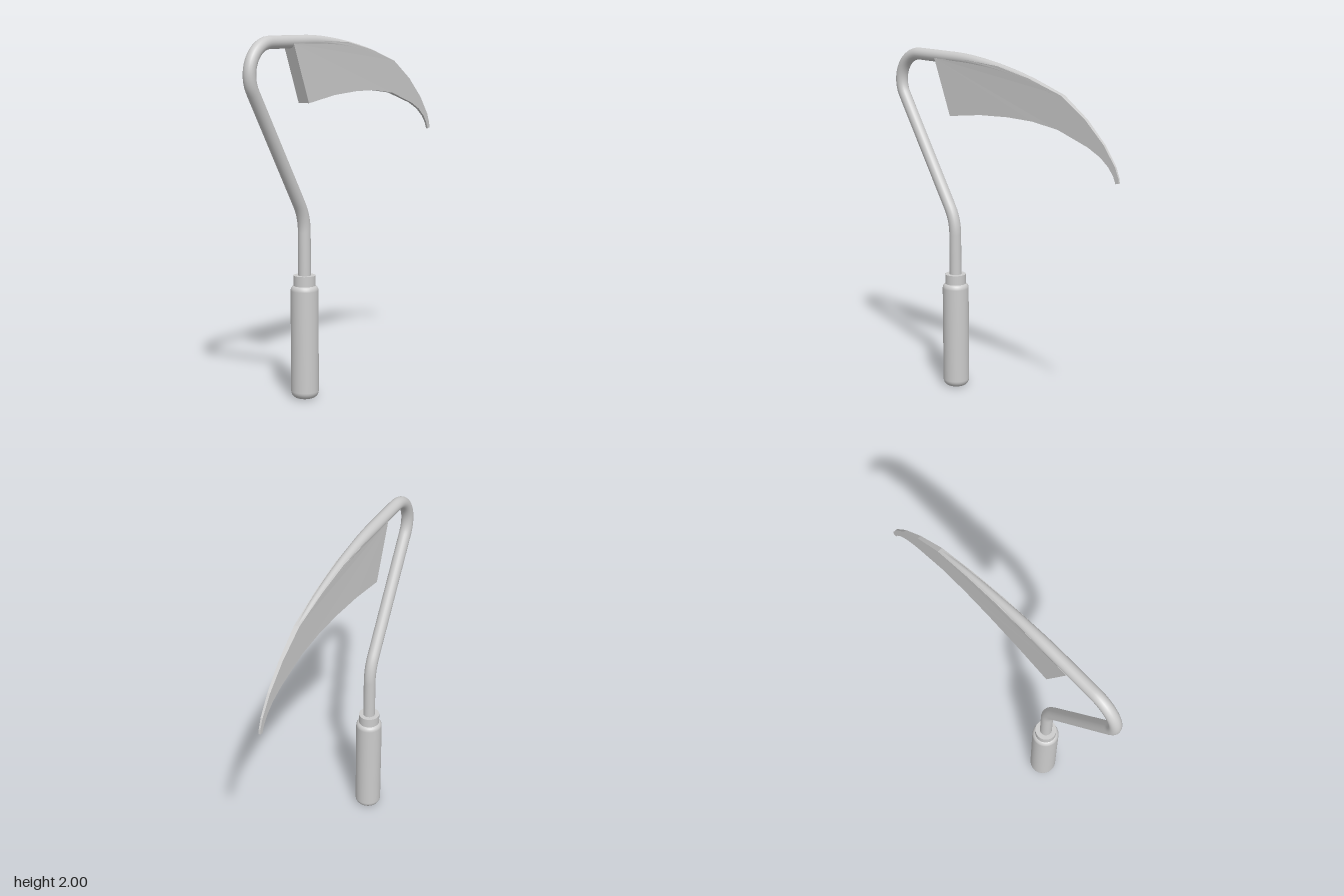
import * as THREE from 'three';

const HANDLE_Z = 0.381;
const ROD_R = 0.035;
const point = (z, y) => new THREE.Vector3(0, y, z);

// Half thickness of blade and rod: constant at the rod, thinning to the tip
const halfThickness = (z) => THREE.MathUtils.clamp(0.005 + (z + 0.87) * 0.0245, 0.004, ROD_R);

// Bent rod: up from the handle, leaning forward, round the gooseneck, then along the blade spine
function rodGeometry() {
  const path = new THREE.CurvePath();
  const bend = [];
  for (let i = 0; i <= 14; i++) {
    const a = THREE.MathUtils.degToRad(-31.6 + (121.6 * i) / 14);
    bend.push(point(0.67 + 0.165 * Math.cos(a), 1.8 + 0.165 * Math.sin(a)));
  }
  const elbowEnd = point(0.425, 1.087);
  const neckEnd = bend[bend.length - 1];
  const spineStart = point(0.5, 1.965);
  path.add(new THREE.LineCurve3(point(HANDLE_Z, 0.6), point(HANDLE_Z, 0.93)));
  path.add(new THREE.QuadraticBezierCurve3(point(HANDLE_Z, 0.93), point(HANDLE_Z, 1.015), elbowEnd));
  path.add(new THREE.LineCurve3(elbowEnd, bend[0]));
  path.add(new THREE.CatmullRomCurve3(bend));
  path.add(new THREE.LineCurve3(neckEnd, spineStart));
  path.add(new THREE.CatmullRomCurve3([spineStart, point(0.244, 1.961), point(0, 1.935), point(-0.25, 1.886), point(-0.45, 1.825)]));

  const rings = 140, sides = 20;
  const geo = new THREE.TubeGeometry(path, rings, ROD_R, sides, false);
  // Taper the spine by pulling each ring towards the path
  const pos = geo.attributes.position;
  const v = new THREE.Vector3();
  for (let i = 0; i <= rings; i++) {
    const c = path.getPointAt(i / rings);
    const onSpine = c.y > 1.77 && c.z < 0.5;
    const k = onSpine ? halfThickness(c.z) / ROD_R : 1;
    for (let j = 0; j <= sides; j++) {
      const n = i * (sides + 1) + j;
      v.fromBufferAttribute(pos, n).sub(c).multiplyScalar(k).add(c);
      pos.setXYZ(n, v.x, v.y, v.z);
    }
  }
  return geo;
}

// Hooked blade: flat outline in z and y, thinned towards the tip
function bladeGeometry() {
  const outline = [
    [0.509, 1.955], [0.244, 1.965], [0, 1.952], [-0.23, 1.906], [-0.466, 1.836],
    [-0.636, 1.725], [-0.763, 1.608], [-0.842, 1.502], [-0.866, 1.445], [-0.869, 1.417],
    [-0.848, 1.412], [-0.832, 1.449], [-0.8, 1.492], [-0.742, 1.539], [-0.657, 1.581],
    [-0.445, 1.65], [-0.26, 1.674], [-0.074, 1.677], [0.138, 1.666], [0.381, 1.634],
  ];
  const shape = new THREE.Shape(outline.map(([z, y]) => new THREE.Vector2(z, y)));
  const geo = new THREE.ExtrudeGeometry(shape, { depth: 2, bevelEnabled: false });
  geo.translate(0, 0, -1);
  geo.rotateY(-Math.PI / 2);
  const pos = geo.attributes.position;
  for (let i = 0; i < pos.count; i++) pos.setX(i, pos.getX(i) * halfThickness(pos.getZ(i)));
  geo.computeVertexNormals();
  return geo;
}

// Grip with rounded base and shoulder
function gripGeometry() {
  const profile = [[0, 0], [0.035, 0]];
  for (let i = 0; i <= 6; i++) {
    const a = (Math.PI / 2) * (i / 6);
    profile.push([0.037 + 0.04 * Math.sin(a), 0.04 - 0.04 * Math.cos(a)]);
  }
  for (let i = 0; i <= 4; i++) {
    const a = (Math.PI / 2) * (i / 4);
    profile.push([0.052 + 0.025 * Math.cos(a), 0.605 + 0.03 * Math.sin(a)]);
  }
  profile.push([0, 0.635]);
  return new THREE.LatheGeometry(profile.map(([r, y]) => new THREE.Vector2(r, y)), 40);
}

export function createModel() {
  const model = new THREE.Group();
  model.name = 'handSickle';
  const material = new THREE.MeshStandardMaterial({ color: 0xcccccc });
  const add = (name, geometry, y = 0, z = 0) => {
    const mesh = new THREE.Mesh(geometry, material);
    mesh.name = name;
    mesh.position.set(0, y, z);
    model.add(mesh);
  };
  add('grip', gripGeometry(), 0, HANDLE_Z);
  add('ferrule', new THREE.CylinderGeometry(0.061, 0.061, 0.09, 40), 0.645, HANDLE_Z);
  add('rod', rodGeometry());
  add('blade', bladeGeometry());
  return model;
}
